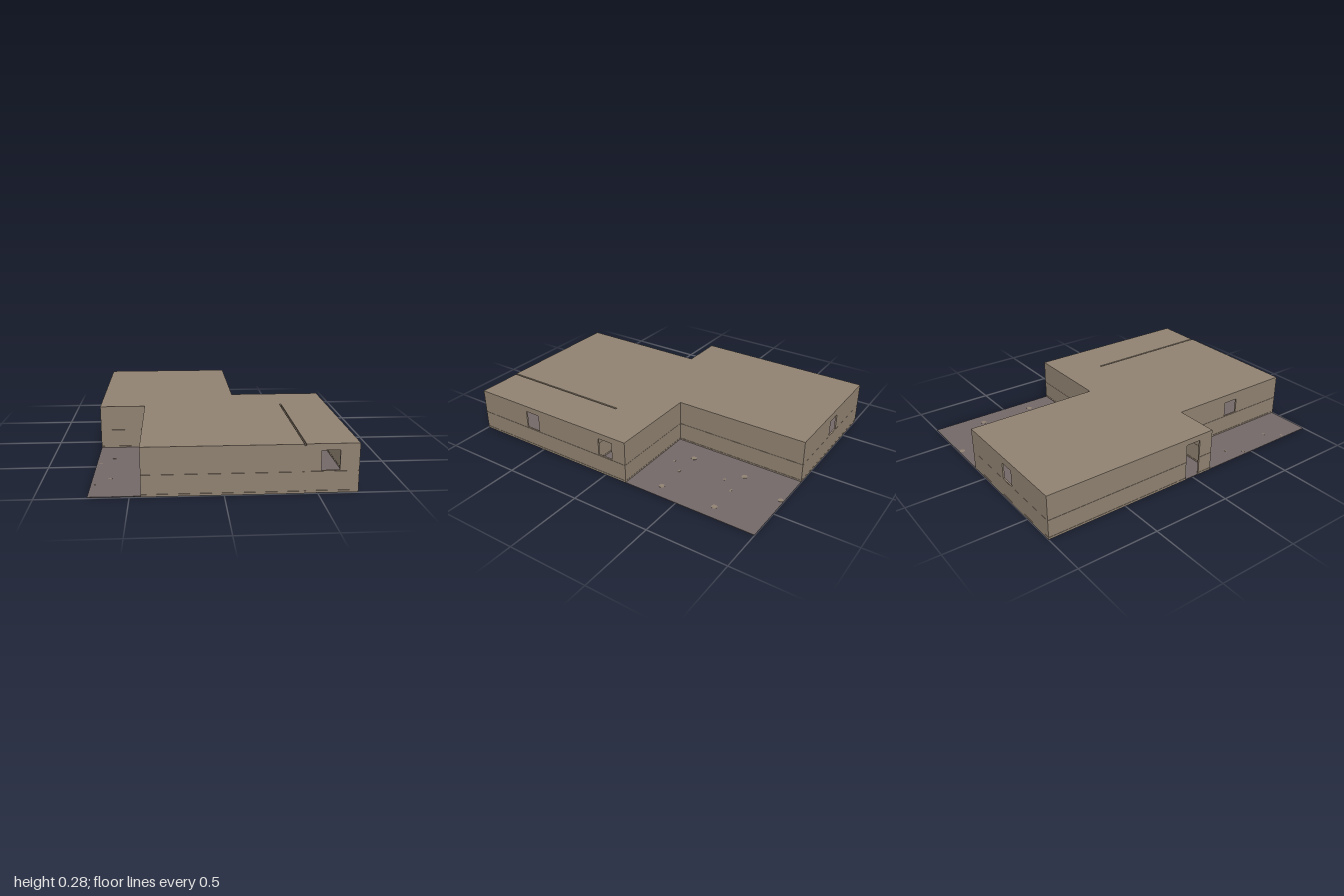
import * as THREE from 'three';

const H = 0.275, T = 0.01;

export function createModel() {
  const wallMat = new THREE.MeshStandardMaterial({ color: 0x8f8170 });
  wallMat.name = 'taupe wall';
  const floorMat = new THREE.MeshStandardMaterial({ color: 0x736868 });
  floorMat.name = 'grey floor';

  const model = new THREE.Group();
  model.name = 'building';

  function box(parent, name, mat, x0, x1, y0, y1, z0, z1) {
    const mesh = new THREE.Mesh(new THREE.BoxGeometry(x1 - x0, y1 - y0, z1 - z0), mat);
    mesh.position.set((x0 + x1) / 2, (y0 + y1) / 2, (z0 + z1) / 2);
    mesh.name = name;
    parent.add(mesh);
  }

  // Wall along x or z with stacked panel rows; openings are [start, end, bottom, top]
  const rows = [[0.001, 0.0135], [0.015, 0.1215], [0.123, H - T]];
  function wall(name, axis, pos, a, b, openings = []) {
    const group = new THREE.Group();
    group.name = name;
    const panel = (s, e, y0, y1) => {
      if (e - s < 1e-4 || y1 - y0 < 1e-4) return;
      if (axis === 'x') box(group, 'wallPanel', wallMat, s, e, y0, y1, pos, pos + T);
      else box(group, 'wallPanel', wallMat, pos, pos + T, y0, y1, s, e);
    };
    for (const [y0, y1] of rows) {
      let s = a;
      for (const [o0, o1, bottom, top] of openings) {
        if (bottom >= y1 || top <= y0) continue;
        panel(s, o0, y0, y1);
        panel(o0, o1, y0, bottom);
        panel(o0, o1, top, y1);
        s = o1;
      }
      panel(s, b, y0, y1);
    }
    model.add(group);
  }

  // Floor slab under the building and both open yards
  box(model, 'floor', floorMat, -0.72, 0.72, 0, 0.004, -1, 0.993);

  // Outer walls
  wall('frontWall', 'x', 0.99, -0.44, 0.425, []);
  wall('frontSideWall', 'x', 0.985, 0.43, 0.72, [[0.515, 0.615, 0.126, 0.238]]);
  wall('leftWall', 'z', 0.71, -0.15, 0.995,
    [[-0.055, 0.045, 0.126, 0.238], [0.52, 0.62, 0.126, 0.238]]);
  wall('rearYardWall', 'x', -0.15, 0.14, 0.72);
  wall('rearYardSideWall', 'z', 0.13, -1, -0.14);
  wall('backWall', 'x', -1, -0.72, 0.14, [[-0.34, -0.24, 0.126, 0.23]]);
  wall('rightWall', 'z', -0.72, -1, 0.14, [[-0.055, 0.045, 0, 0.238]]);
  wall('frontYardWall', 'x', 0.13, -0.72, -0.43);
  wall('frontYardSideWall', 'z', -0.44, 0.13, 1, [[0.52, 0.62, 0.126, 0.222]]);

  // Inner walls around the corridor and the side room
  wall('sideRoomWall', 'z', 0.42, 0.14, 0.995, [[0.52, 0.62, 0.126, 0.238]]);
  wall('corridorFrontWall', 'x', 0.13, -0.43, 0.71);
  wall('corridorBackWall', 'x', -0.15, -0.71, 0.13);

  // Stepped flat roof with a narrow slit over the side room wall
  const shapeOf = (Type, pts) => new Type(pts.map(([x, z]) => new THREE.Vector2(x, -z)));
  const outline = shapeOf(THREE.Shape, [
    [-0.72, -1], [0.14, -1], [0.14, -0.15], [0.72, -0.15],
    [0.72, 0.995], [0.432, 0.995], [0.432, 0.135], [0.421, 0.135],
    [0.421, 1], [-0.44, 1], [-0.44, 0.14], [-0.72, 0.14],
  ]);
  const roofGeo = new THREE.ExtrudeGeometry(outline, { depth: T, bevelEnabled: false });
  roofGeo.rotateX(-Math.PI / 2).translate(0, H - T, 0);
  const roof = new THREE.Mesh(roofGeo, wallMat);
  roof.name = 'roof';
  model.add(roof);

  // Small round floor marks in the yards: [x, z, radius x, radius z]
  const marks = [
    [0.28, -0.7, 0.018, 0.018], [0.63, -0.7, 0.018, 0.018],
    [0.28, -0.345, 0.018, 0.018], [0.63, -0.345, 0.018, 0.018],
    [0.445, -0.7, 0.013, 0.007], [0.445, -0.345, 0.013, 0.007],
    [0.37, -0.615, 0.01, 0.007], [0.37, -0.26, 0.01, 0.007],
    [0.37, -0.98, 0.016, 0.016],
    [-0.62, 0.365, 0.013, 0.006], [-0.62, 0.72, 0.013, 0.006],
    [-0.695, 0.45, 0.01, 0.006], [-0.695, 0.805, 0.01, 0.006],
  ];
  for (const [x, z, rx, rz] of marks) {
    const mark = new THREE.Mesh(new THREE.CylinderGeometry(1, 1, 0.001, 12), wallMat);
    mark.scale.set(rx, 1, rz);
    mark.position.set(x, 0.0045, z);
    mark.name = 'floorMark';
    model.add(mark);
  }

  return model;
}
